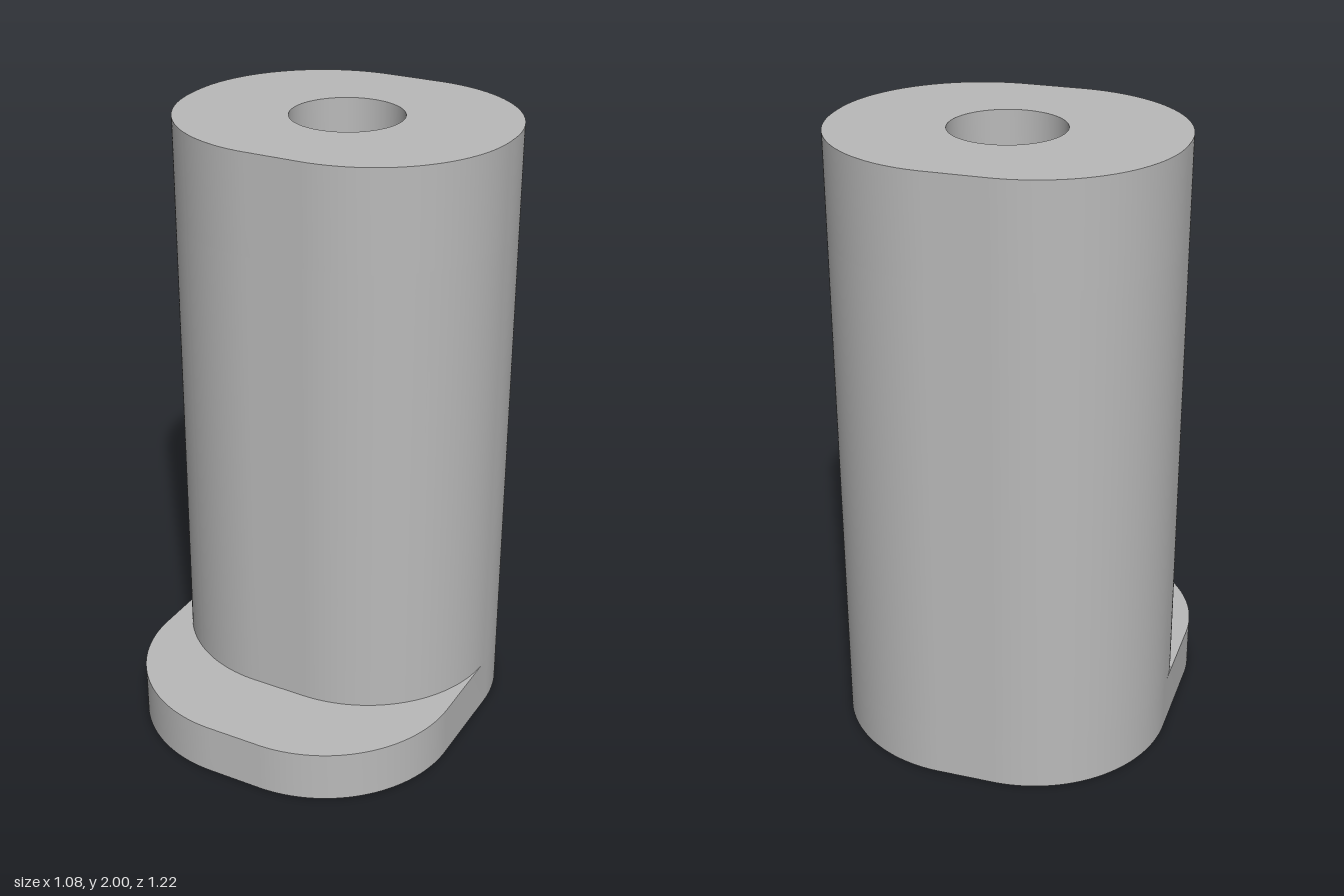
import * as THREE from 'three';
import { toCreasedNormals } from 'three/addons/utils/BufferGeometryUtils.js';

const HALF_W = 0.54, CORNER = 0.45, BACK = -0.61, BORE_Z = -0.148;

// Rounded rectangle in plan, from the back edge to the given front edge
function outline(front) {
  const s = new THREE.Shape();
  const cx = HALF_W - CORNER, low = -front + CORNER, high = -BACK - CORNER;
  s.absarc(cx, low, CORNER, -Math.PI / 2, 0, false);
  s.absarc(cx, high, CORNER, 0, Math.PI / 2, false);
  s.absarc(-cx, high, CORNER, Math.PI / 2, Math.PI, false);
  s.absarc(-cx, low, CORNER, Math.PI, Math.PI * 1.5, false);
  s.closePath();
  return s;
}

// Upright slab between two heights, pierced by round holes [x, z, radius]
function slab(name, front, y0, y1, holes, material) {
  const shape = outline(front);
  for (const [x, z, r] of holes) {
    const hole = new THREE.Path();
    hole.absarc(x, -z, r, 0, Math.PI * 2, true);
    shape.holes.push(hole);
  }
  let geo = new THREE.ExtrudeGeometry(shape, { depth: y1 - y0, bevelEnabled: false, curveSegments: 32 });
  geo.rotateX(-Math.PI / 2);
  geo.translate(0, y0, 0);
  geo = toCreasedNormals(geo, Math.PI / 5);
  const mesh = new THREE.Mesh(geo, material);
  mesh.name = name;
  return mesh;
}

export function createModel() {
  const group = new THREE.Group();
  group.name = 'footedSpacer';
  const grey = new THREE.MeshStandardMaterial({ color: 0xbababa });
  grey.name = 'grey';

  const wideBore = [0, BORE_Z, 0.34];
  const narrowBore = [0, BORE_Z, 0.179];
  const pinHole = [0.365, 0.12, 0.016];

  // Foot projecting to the front, with a tiny blind hole underneath
  group.add(slab('foot', 0.61, 0, 0.17, [wideBore, pinHole], grey));
  // Column with the wide bore open at the bottom
  group.add(slab('column', 0.315, 0.17, 1.68, [wideBore], grey));
  // Closed end with the narrow through hole
  group.add(slab('topEnd', 0.315, 1.68, 2, [narrowBore], grey));
  return group;
}
